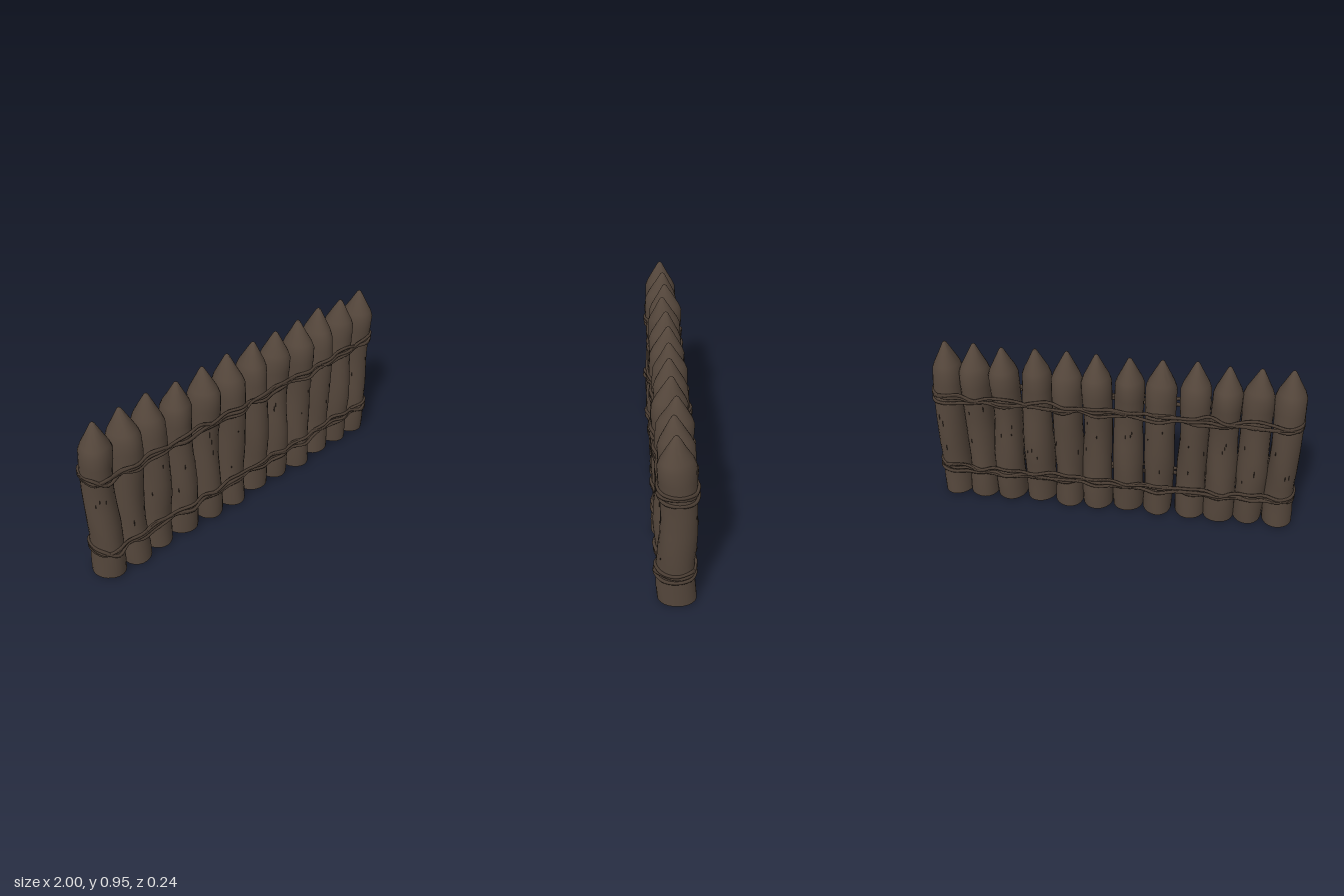
import * as THREE from 'three';
import { toCreasedNormals } from 'three/addons/utils/BufferGeometryUtils.js';

const wood = new THREE.MeshStandardMaterial({ color: 0x54463b });
wood.name = 'weathered wood';
const rope = new THREE.MeshStandardMaterial({ color: 0x493c32 });
rope.name = 'binding rope';
const crack = new THREE.MeshStandardMaterial({ color: 0x2c241e });
crack.name = 'dark crack';

const centres = [-0.913, -0.752, -0.59, -0.43, -0.25, -0.08, 0.09, 0.25, 0.42, 0.59, 0.75, 0.908];

// radius and height from the foot to the sharpened tip
const profile = [
  [0, 0.006], [0.07, 0.006], [0.09, 0.016], [0.091, 0.09], [0.088, 0.18], [0.088, 0.26],
  [0.09, 0.34], [0.087, 0.44], [0.085, 0.54], [0.086, 0.64], [0.088, 0.73], [0.087, 0.8],
  [0.074, 0.835], [0.044, 0.89], [0.012, 0.95], [0, 0.96],
];

function seeded(seed) {
  let s = seed;
  return () => {
    s = (s * 16807) % 2147483647;
    return s / 2147483647;
  };
}

// a point on log i: slightly bent, lumpy and oval
function logPoint(i, angle, y, r) {
  const body = Math.min(1, r / 0.08);
  const lump = 1 + body * (0.03 * Math.sin(2 * angle + i * 1.9 + y * 5)
    + 0.022 * Math.sin(3 * angle - i * 2.3 + y * 13));
  const bendX = 0.003 * Math.sin(y * 8 + i * 2.1);
  const bendZ = 0.008 * Math.sin(y * 9 + i * 1.7) + 0.005 * Math.sin(i * 2.6);
  return new THREE.Vector3(
    centres[i] + bendX + Math.sin(angle) * r * lump * 0.92,
    y,
    bendZ + Math.cos(angle) * r * lump * 1.04);
}

function radiusAt(y) {
  const k = profile.findIndex((p, n) => n > 1 && p[1] >= y);
  const [r0, y0] = profile[k - 1];
  const [r1, y1] = profile[k];
  return r0 + (r1 - r0) * (y - y0) / (y1 - y0);
}

function makeLog(i) {
  const geo = new THREE.LatheGeometry(profile.map(([r, y]) => new THREE.Vector2(r, y)), 24);
  const pos = geo.attributes.position;
  for (let v = 0; v < pos.count; v++) {
    const x = pos.getX(v), y = pos.getY(v), z = pos.getZ(v);
    const p = logPoint(i, Math.atan2(x, z), y, Math.hypot(x, z));
    pos.setXYZ(v, p.x, p.y, p.z);
  }
  const mesh = new THREE.Mesh(toCreasedNormals(geo, 0.55), wood);
  mesh.name = 'sharpenedLog' + (i + 1);
  return mesh;
}

// one closed strand passing around the whole row
function makeStrand(level, n, rand) {
  const pts = [];
  const phase = n * 2.1;
  const height = (x, side) => level + 0.019 * Math.sin(x * 6 + phase + side)
    + 0.009 * Math.sin(x * 17 + phase * 2) + (rand() - 0.5) * 0.01;
  const last = centres.length - 1;
  const touch = (i, angle, side) => {
    const y = height(centres[i], side);
    const p = logPoint(i, angle, y, radiusAt(y) + 0.005);
    p.x = THREE.MathUtils.clamp(p.x, -0.99, 0.99);
    pts.push(p);
  };
  const run = (order, angle, side) => order.forEach((i, k) => {
    touch(i, angle, side);
    if (k === last) return;
    const x = (centres[i] + centres[order[k + 1]]) / 2;
    pts.push(new THREE.Vector3(x, height(x, side), Math.cos(angle) * (0.076 + 0.012 * rand())));
  });
  const order = centres.map((_, i) => i);
  run(order, 0, 0);
  [0.25, 0.5, 0.75].forEach(t => touch(last, t * Math.PI, 1));
  run(order.slice().reverse(), Math.PI, 2);
  [1.25, 1.5, 1.75].forEach(t => touch(0, t * Math.PI, 3));
  const curve = new THREE.CatmullRomCurve3(pts, true);
  const mesh = new THREE.Mesh(new THREE.TubeGeometry(curve, 240, 0.0075 + 0.002 * rand(), 6, true), rope);
  mesh.name = 'ropeStrand';
  return mesh;
}

// thin dark slivers lying in the bark
function makeCracks(i, rand) {
  const group = new THREE.Group();
  group.name = 'barkCracks' + (i + 1);
  for (let k = 0; k < 6; k++) {
    const angle = (k % 2) * Math.PI + (rand() - 0.5) * 1.8;
    const y = 0.28 + rand() * 0.32;
    const mesh = new THREE.Mesh(new THREE.OctahedronGeometry(1), crack);
    mesh.name = 'crack';
    mesh.scale.set(0.0025, 0.01 + rand() * 0.015, 0.0025);
    mesh.position.copy(logPoint(i, angle, y, radiusAt(y)));
    mesh.rotation.y = angle;
    group.add(mesh);
  }
  return group;
}

export function createModel() {
  const model = new THREE.Group();
  model.name = 'palisadeFence';
  const rand = seeded(4217);
  centres.forEach((_, i) => model.add(makeLog(i), makeCracks(i, rand)));

  // upper and lower lashings
  [['upperLashing', 0.66], ['lowerLashing', 0.198]].forEach(([name, level]) => {
    const lashing = new THREE.Group();
    lashing.name = name;
    for (let n = 0; n < 4; n++) lashing.add(makeStrand(level, n, rand));
    model.add(lashing);
  });
  return model;
}
